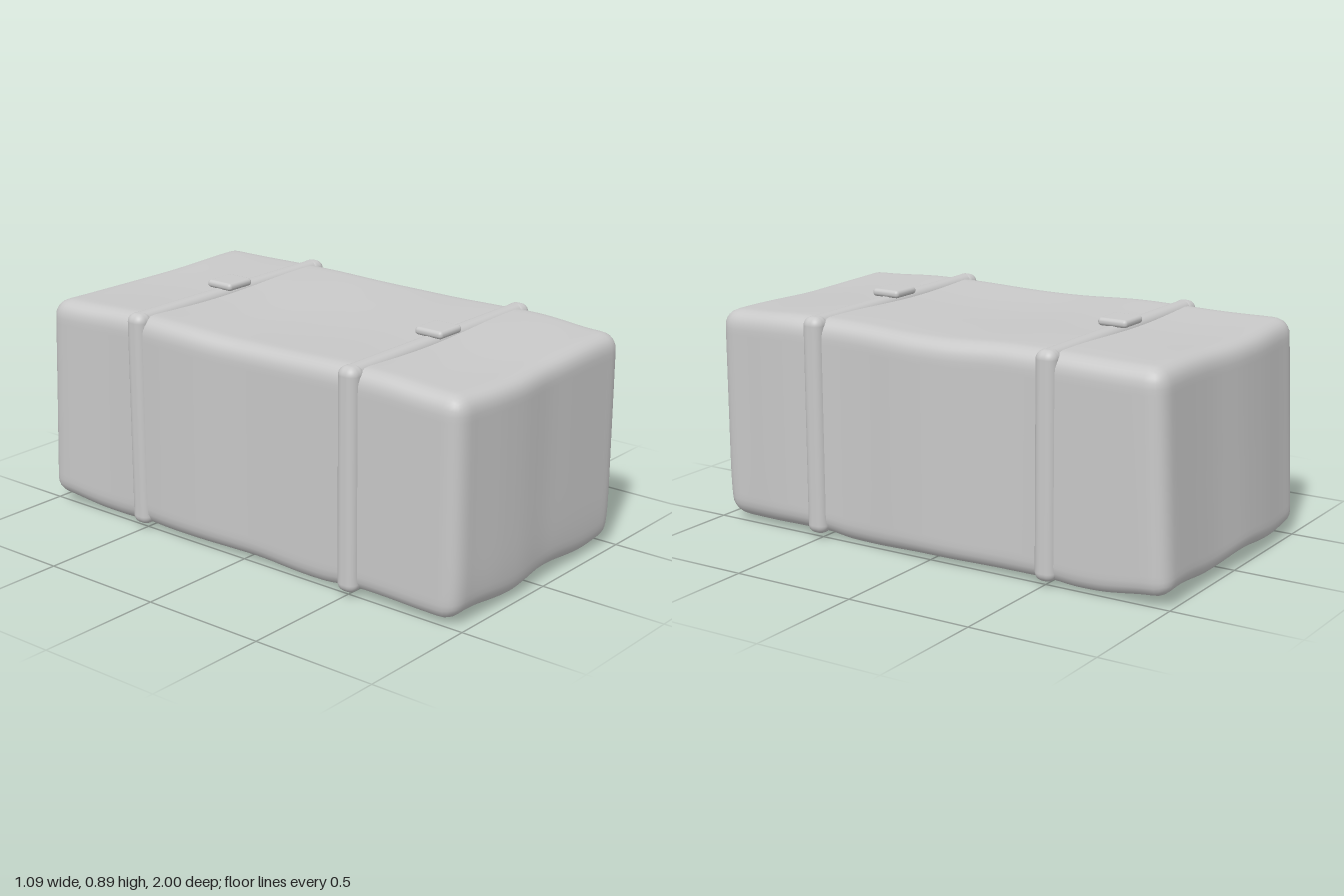
import * as THREE from 'three';
import { mergeVertices } from 'three/addons/utils/BufferGeometryUtils.js';
import { RoundedBoxGeometry } from 'three/addons/geometries/RoundedBoxGeometry.js';

// smooth curve through [position, value] pairs
function profile(points) {
  return (t) => {
    if (t <= points[0][0]) return points[0][1];
    for (let i = 1; i < points.length; i++) {
      const [a, va] = points[i - 1], [b, vb] = points[i];
      if (t <= b) return va + (vb - va) * THREE.MathUtils.smootherstep(t, a, b);
    }
    return points[points.length - 1][1];
  };
}

// how far each side of the soft bundle reaches
const leftReach = profile([[-0.95, 0.53], [-0.35, 0.525], [0, 0.54], [0.4, 0.52], [0.65, 0.53], [0.95, 0.515]]);
const rightReach = profile([[-0.95, 0.545], [-0.6, 0.525], [-0.33, 0.535], [0.15, 0.517], [0.95, 0.518]]);
const topReach = profile([[-0.9, 0.843], [-0.4, 0.85], [0, 0.84], [0.55, 0.85], [0.95, 0.835]]);
const bottomReach = profile([[-0.97, 0.034], [-0.65, 0.01], [-0.45, 0.022], [0, 0.024], [0.35, 0.012], [0.55, 0.026], [0.95, 0.015]]);
const frontReach = profile([[-0.5, 0.982], [-0.2, 0.992], [0.1, 0.977], [0.5, 0.975]]);
const backReach = profile([[-0.5, 0.978], [-0.15, 0.992], [0.2, 0.976], [0.5, 0.982]]);

// rounded block whose sides sag and bulge
function bundleGeometry() {
  const half = new THREE.Vector3(0.52, 0.415, 0.98);
  const radius = 0.065, midY = 0.43;
  let geo = new THREE.BoxGeometry(half.x * 2, half.y * 2, half.z * 2, 44, 36, 80);
  geo.deleteAttribute('uv');
  geo.deleteAttribute('normal');
  geo = mergeVertices(geo, 1e-4);
  const pos = geo.attributes.position;
  const inner = half.clone().subScalar(radius);
  const low = inner.clone().negate();
  const p = new THREE.Vector3(), core = new THREE.Vector3();
  for (let i = 0; i < pos.count; i++) {
    p.fromBufferAttribute(pos, i);
    core.copy(p).clamp(low, inner);
    p.sub(core).normalize().multiplyScalar(radius).add(core);
    const { x, y, z } = p;
    const sx = (x > 0 ? leftReach(z) : rightReach(z)) / half.x;
    const floor = bottomReach(z) - 0.009 * Math.cos(x * 13 + z * 2);
    const roof = topReach(z) + 0.006 * Math.sin(x * 6 - 0.9);
    const sy = (y > 0 ? roof - midY : midY - floor) / half.y;
    const tilt = y < 0 ? -0.02 * Math.pow(-y / half.y, 6) : 0;
    const sz = (z > 0 ? frontReach(x) + tilt : backReach(x) - 0.018 * (y / half.y)) / half.z;
    pos.setXYZ(i, x * sx, midY + y * sy, z * sz);
  }
  geo.computeVertexNormals();
  return geo;
}

export function createModel() {
  const model = new THREE.Group();
  model.name = 'strappedBundle';
  const cloth = new THREE.MeshStandardMaterial({ color: 0xc8c8c8 });
  cloth.name = 'plain grey';

  const bundle = new THREE.Mesh(bundleGeometry(), cloth);
  bundle.name = 'bundle';
  model.add(bundle);

  function bar(name, parent, w, h, d, r, x, y) {
    const mesh = new THREE.Mesh(new RoundedBoxGeometry(w, h, d, 5, r), cloth);
    mesh.name = name;
    mesh.position.set(x, y, 0);
    parent.add(mesh);
  }

  // two straps around the bundle, each with a buckle on top
  for (const z of [0.51, -0.508]) {
    const strap = new THREE.Group();
    strap.name = z > 0 ? 'frontStrap' : 'backStrap';
    bar('strapTop', strap, 1.08, 0.08, 0.074, 0.032, 0, 0.825);
    bar('strapBottom', strap, 1.08, 0.08, 0.074, 0.032, 0, 0.06);
    bar('strapLeft', strap, 0.08, 0.845, 0.084, 0.034, 0.505, 0.4425);
    bar('strapRight', strap, 0.08, 0.845, 0.084, 0.034, -0.505, 0.4425);
    bar('buckle', strap, 0.132, 0.03, 0.122, 0.014, 0, 0.876);
    strap.position.z = z;
    model.add(strap);
  }
  return model;
}
